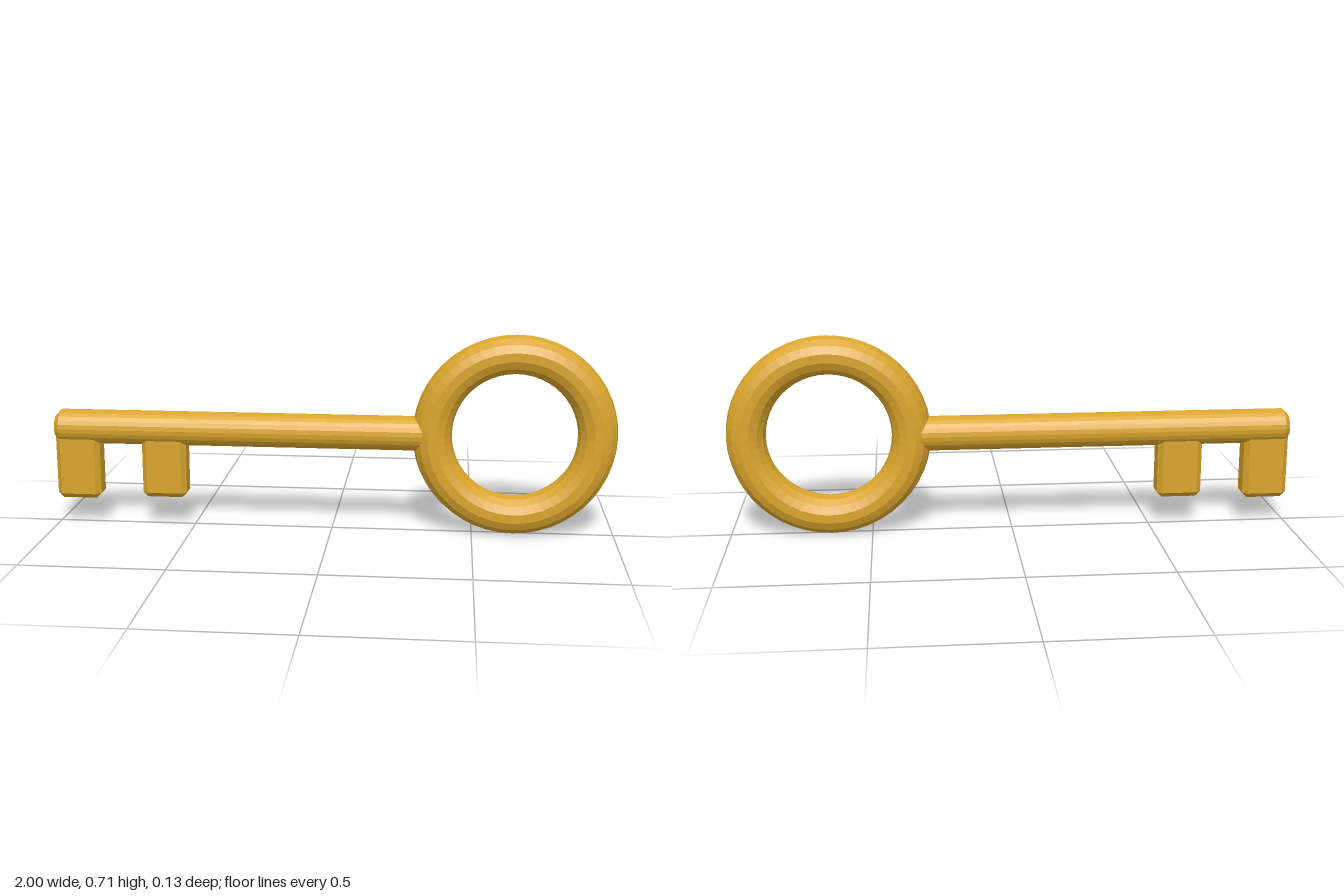
import * as THREE from 'three';
import { ConvexGeometry } from 'three/addons/geometries/ConvexGeometry.js';

const AXIS_Y = 0.358;

// Box with every edge chamfered by c
function chamferBox(w, h, d, c) {
  const points = [];
  for (const sx of [-1, 1]) for (const sy of [-1, 1]) for (const sz of [-1, 1]) {
    const x = w / 2, y = h / 2, z = d / 2;
    points.push(
      new THREE.Vector3(sx * x, sy * (y - c), sz * (z - c)),
      new THREE.Vector3(sx * (x - c), sy * y, sz * (z - c)),
      new THREE.Vector3(sx * (x - c), sy * (y - c), sz * z)
    );
  }
  return new ConvexGeometry(points);
}

export function createModel() {
  const key = new THREE.Group();
  key.name = 'key';
  const gold = new THREE.MeshStandardMaterial({ color: 0xdaa52d, flatShading: true });

  function add(name, geometry, x, y) {
    const mesh = new THREE.Mesh(geometry, gold);
    mesh.name = name;
    mesh.position.set(x, y, 0);
    key.add(mesh);
    return mesh;
  }

  // Round handle
  add('bow', new THREE.TorusGeometry(0.288, 0.069, 14, 48), 0.643, AXIS_Y);

  // Round shaft with chamfered ends, its right end sunk into the bow
  const length = 1.34, radius = 0.061, c = 0.02;
  const profile = [
    [0, 0], [radius - c, 0], [radius, c],
    [radius, length - c], [radius - c, length], [0, length]
  ].map(([r, y]) => new THREE.Vector2(r, y));
  const shaft = new THREE.LatheGeometry(profile, 24);
  shaft.rotateZ(-Math.PI / 2);
  add('shaft', shaft, -1, AXIS_Y);

  // Teeth hanging below the shaft: centre x, bottom y
  for (const [name, x, bottom] of [['outerTooth', -0.918, 0.097], ['innerTooth', -0.603, 0.108]]) {
    const top = 0.36;
    add(name, chamferBox(0.16, top - bottom, 0.092, 0.018), x, (top + bottom) / 2);
  }
  return key;
}
